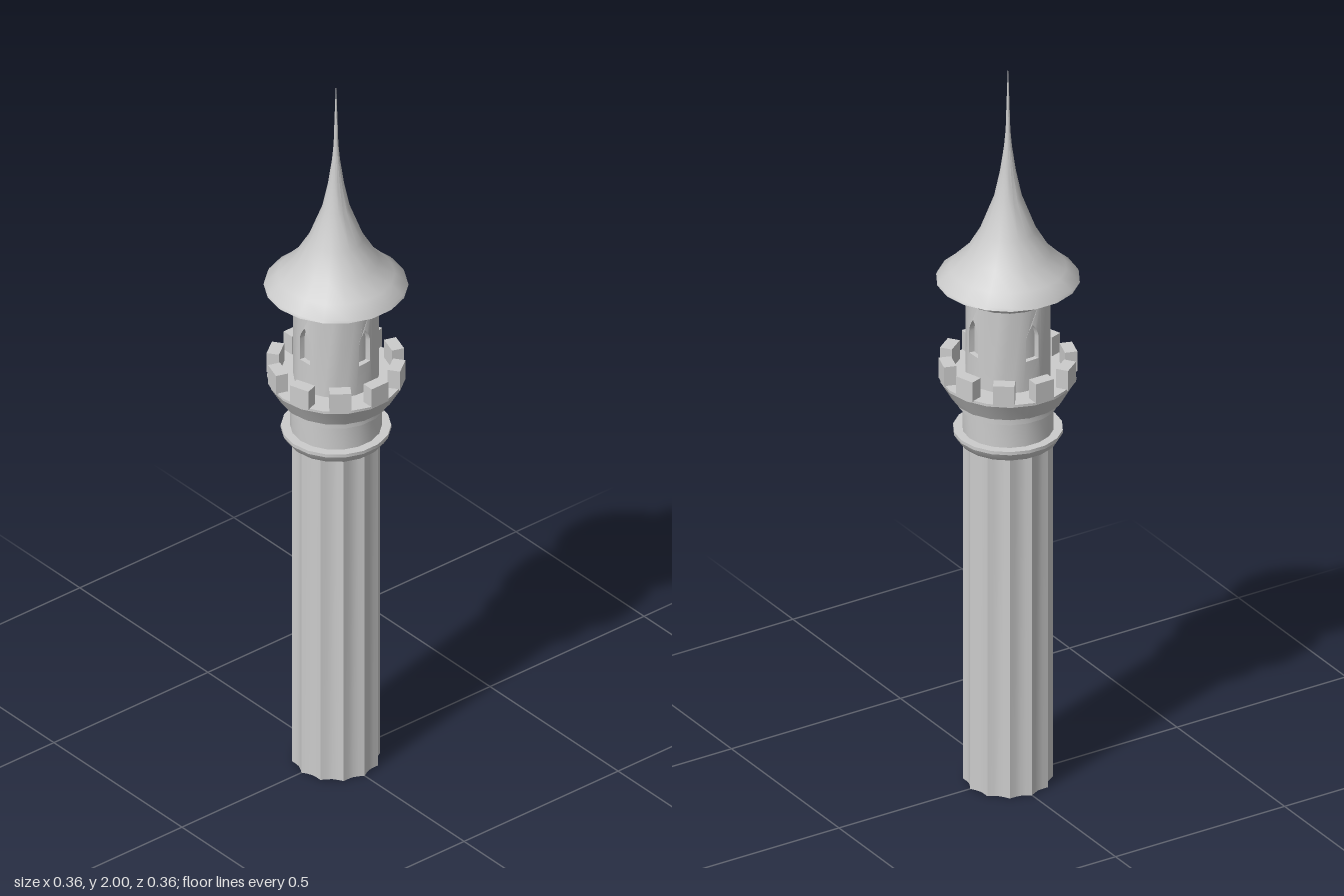
import * as THREE from 'three';
import { mergeGeometries, toCreasedNormals } from 'three/addons/utils/BufferGeometryUtils.js';

const SIDES = 18;
const stone = new THREE.MeshStandardMaterial({ color: 0xcccccc, side: THREE.DoubleSide });

function named(name, geometry, parent) {
  const mesh = new THREE.Mesh(geometry, stone);
  mesh.name = name;
  parent.add(mesh);
  return mesh;
}

// Turned part from [radius, height] pairs, listed bottom to top
function turned(name, profile, parent, crease = 0.45) {
  const points = profile.map(([r, y]) => new THREE.Vector2(r, y));
  const lathe = new THREE.LatheGeometry(points, SIDES, Math.PI / 2);
  return named(name, toCreasedNormals(lathe, crease), parent);
}

// Open shaft with concave flutes between sharp ridges
function flutedShaft() {
  const flutes = 12, steps = 4, n = flutes * steps;
  const geo = new THREE.CylinderGeometry(0.112, 0.112, 0.97, n, 1, true);
  const p = geo.attributes.position;
  for (let i = 0; i < p.count; i++) {
    const t = (i % (n + 1)) % steps / steps;
    const k = 1 - 0.09 * Math.sin(Math.PI * t);
    p.setX(i, p.getX(i) * k);
    p.setZ(i, p.getZ(i) * k);
  }
  geo.translate(0, 0.485, 0);
  return toCreasedNormals(geo, 0.4);
}

// Pointed arch outline, centred on x = 0
function archPath(w, bottom, spring, top) {
  const path = new THREE.Path();
  path.moveTo(-w, bottom);
  path.lineTo(w, bottom);
  path.lineTo(w, spring);
  path.quadraticCurveTo(w * 0.9, (spring + top) / 2, 0, top);
  path.quadraticCurveTo(-w * 0.9, (spring + top) / 2, -w, spring);
  return path;
}

// Round wall of bent panels; every third panel holds a window niche
function windowedDrum(radius, depth, y0, y1) {
  const count = 12, half = Math.PI * radius / count;
  const panels = [];
  for (let i = 0; i < count; i++) {
    const shape = new THREE.Shape();
    shape.moveTo(-half, y0);
    shape.lineTo(0, y0);
    shape.lineTo(half, y0);
    shape.lineTo(half, y1);
    shape.lineTo(0, y1);
    shape.lineTo(-half, y1);
    if (i % 3 === 0) shape.holes.push(archPath(0.019, 1.225, 1.285, 1.325));
    const geo = new THREE.ExtrudeGeometry(shape, { depth, bevelEnabled: false, curveSegments: 4 });
    const p = geo.attributes.position;
    for (let j = 0; j < p.count; j++) {
      const angle = p.getX(j) / radius + i * Math.PI * 2 / count;
      const r = radius - depth + p.getZ(j);
      p.setXYZ(j, Math.sin(angle) * r, p.getY(j), Math.cos(angle) * r);
    }
    panels.push(geo);
  }
  return toCreasedNormals(mergeGeometries(panels), 0.6);
}

export function createModel() {
  const tower = new THREE.Group();
  tower.name = 'tower';

  named('flutedShaft', flutedShaft(), tower);

  // Collar and neck between the shaft and the gallery
  turned('collar', [
    [0.1, 0.96], [0.122, 0.96], [0.127, 0.965], [0.138, 0.983], [0.138, 0.992], [0.11, 0.992],
  ], tower);
  turned('neck', [
    [0.115, 0.985], [0.115, 1.06], [0.127, 1.062], [0.127, 1.085], [0.11, 1.085],
  ], tower);

  // Flared gallery with a walkway on top
  turned('gallery', [
    [0.1, 1.085], [0.143, 1.085], [0.172, 1.135], [0.172, 1.142], [0.09, 1.142],
  ], tower);

  // Ring of battlements
  const battlements = new THREE.Group();
  battlements.name = 'battlements';
  tower.add(battlements);
  const merlonCount = 10;
  for (let i = 0; i < merlonCount; i++) {
    const angle = i * Math.PI * 2 / merlonCount;
    const merlon = named('merlon', new THREE.BoxGeometry(0.054, 0.056, 0.032), battlements);
    merlon.position.set(Math.sin(angle) * 0.156, 1.167, Math.cos(angle) * 0.156);
    merlon.rotation.y = angle;
  }

  // Upper room with window niches and their back wall
  const drum = named('windowedDrum', windowedDrum(0.107, 0.014, 1.13, 1.39), tower);
  drum.rotation.y = 0.05;
  turned('nicheWall', [[0.093, 1.13], [0.093, 1.39]], tower);

  // Cornice under the eaves
  turned('cornice', [
    [0.1, 1.373], [0.119, 1.373], [0.124, 1.38], [0.141, 1.402], [0.141, 1.414],
  ], tower);

  // Concave roof drawn out into a needle spire
  turned('roof', [
    [0.1, 1.411], [0.181, 1.411], [0.178, 1.418], [0.147, 1.445], [0.108, 1.485],
    [0.07, 1.55], [0.035, 1.643], [0.02, 1.715], [0.01, 1.785], [0.006, 1.83],
    [0.004, 1.9], [0.002, 1.96], [0.0005, 2],
  ], tower, 0.6);

  return tower;
}
